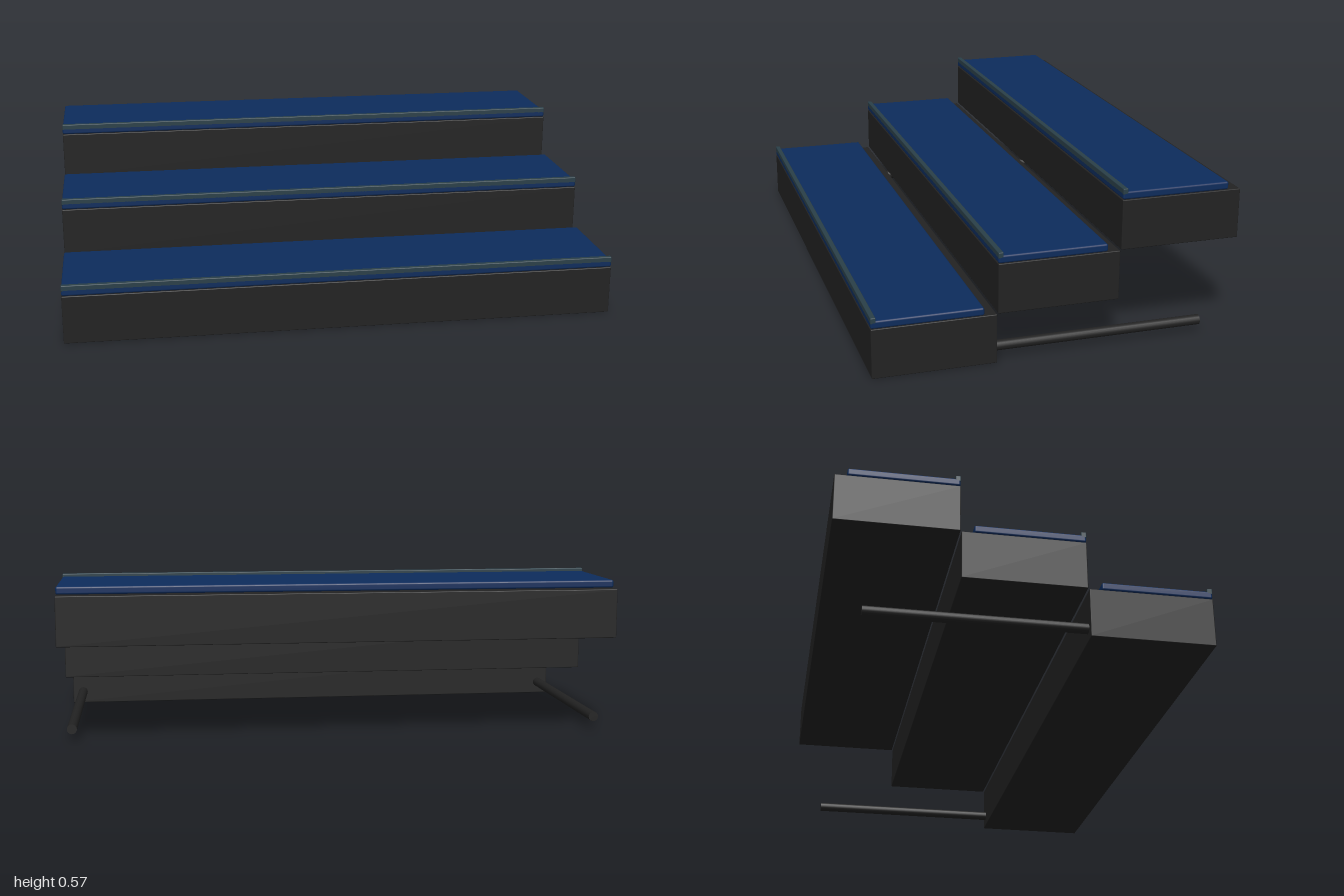
import * as THREE from 'three';
import { RoundedBoxGeometry } from 'three/addons/geometries/RoundedBoxGeometry.js';

const mat = (name, color) => {
  const m = new THREE.MeshStandardMaterial({ color });
  m.name = name;
  return m;
};

export function createModel() {
  const dark = mat('charcoal frame', 0x222222);
  const blue = mat('navy carpet', 0x0d2c5c);
  const trim = mat('slate nosing', 0x2a3f48);

  const model = new THREE.Group();
  model.name = 'tieredPlatform';
  const add = (parent, name, geometry, material, x, y, z) => {
    const mesh = new THREE.Mesh(geometry, material);
    mesh.name = name;
    mesh.position.set(x, y, z);
    parent.add(mesh);
    return mesh;
  };

  // Shared tier geometries
  const riserGeo = new RoundedBoxGeometry(2, 0.177, 0.431, 2, 0.003);
  const deckGeo = new RoundedBoxGeometry(2, 0.028, 0.387, 3, 0.007);
  const nosingGeo = new RoundedBoxGeometry(2, 0.022, 0.018, 2, 0.003);

  // Three tiers rising toward the back
  for (let i = 0; i < 3; i++) {
    const tier = new THREE.Group();
    tier.name = `tier${i + 1}`;
    tier.position.set(0, i * 0.179, 0.65 - i * 0.434);
    add(tier, 'riser', riserGeo, dark, 0, 0.0885, -0.2155);
    add(tier, 'deck', deckGeo, blue, 0, 0.192, -0.1935);
    add(tier, 'nosing', nosingGeo, trim, 0, 0.206, -0.009);
    model.add(tier);
  }

  // Support rails running back from the lowest tier
  const railGeo = new THREE.CylinderGeometry(0.018, 0.018, 0.775, 16);
  railGeo.rotateX(Math.PI / 2);
  for (const side of [-1, 1]) {
    add(model, side > 0 ? 'leftRail' : 'rightRail', railGeo, dark, side * 0.96, 0.046, -0.1495);
  }
  return model;
}
